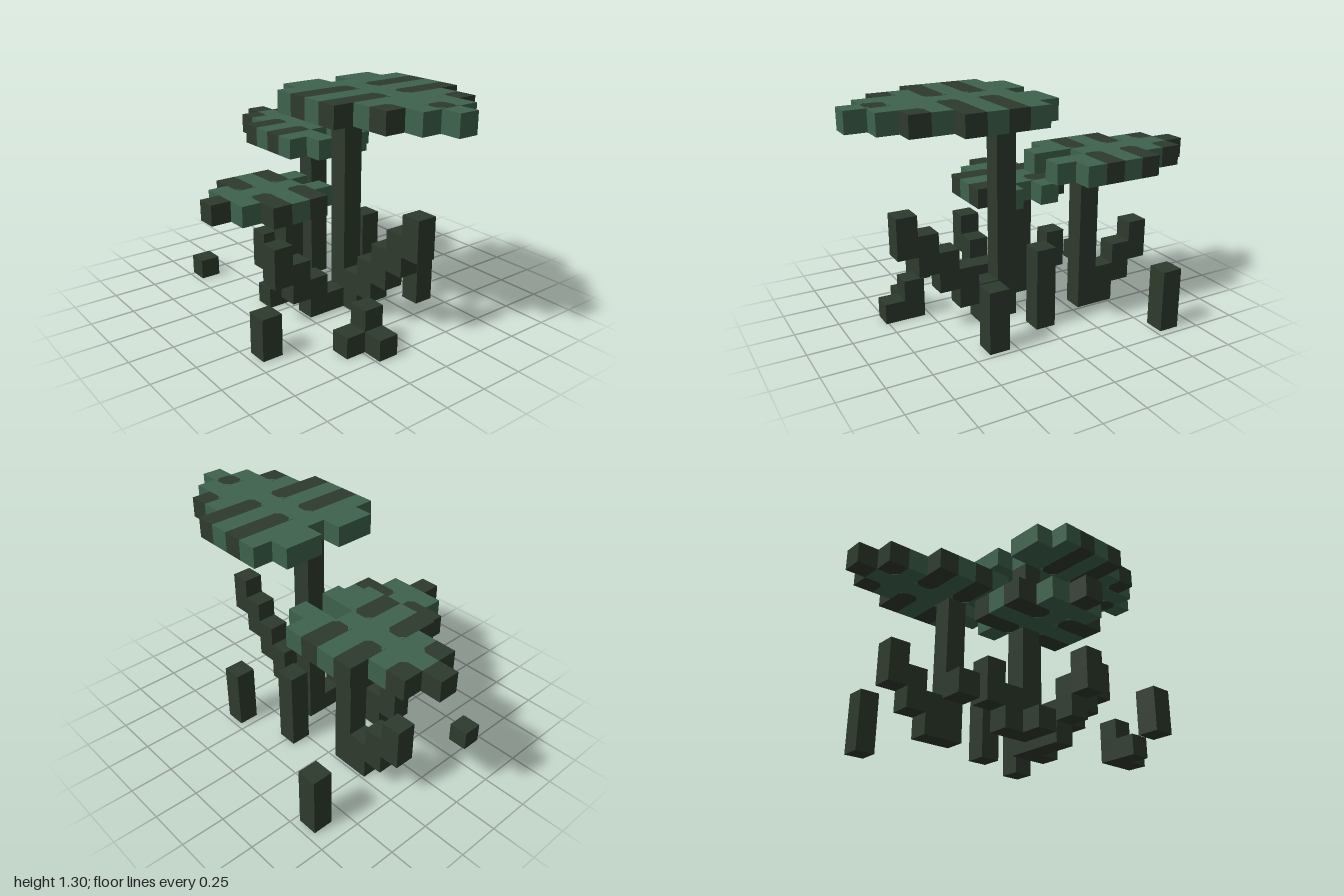
import * as THREE from 'three';
import { mergeGeometries } from 'three/addons/utils/BufferGeometryUtils.js';

const U = 2 / 17; // edge of one cube
const NX = 17, NZ = 12;
const leafGreen = new THREE.MeshStandardMaterial({ color: 0x3d624c });
leafGreen.name = 'leafGreen';
const barkDark = new THREE.MeshStandardMaterial({ color: 0x2e3a2d });
barkDark.name = 'barkDark';

// Canopies: level, first column, first row, then rows from back to front (G green, D dark)
const canopies = [
  { name: 'tallCanopy', level: 10, x: 8, z: 2, rows: [
    '.GDGD....', 'GGDGDGD..', 'GGDGDGGG.', '.GGGGGGDG', 'GGDGDGGG.', 'GGDGDGD..', '.GDGD....'] },
  { name: 'middleCanopy', level: 7, x: 0, z: 2, rows: [
    '...DGDG.', '.DGDGDGG', 'DGGGGG..', '.DGDGDGG', '...DGDG.'] },
  { name: 'lowCanopy', level: 5, x: 5, z: 6, rows: [
    '.G.G.', 'DDGDD', 'GGGGG', 'DDGDD', '.GGG.', '..D..'] },
];

// Wooden columns: [column, row, bottom level, top level]
const wood = {
  tallStem: [[9, 5, 0, 9]],
  middleStem: [[5, 4, 0, 6]],
  lowStem: [[7, 7, 0, 4]],
  leftBranch: [[10, 5, 0, 1], [11, 5, 1, 2], [12, 5, 2, 3], [13, 5, 3, 4], [14, 5, 4, 5]],
  frontBranch: [[9, 6, 0, 0], [9, 7, 0, 1], [9, 8, 1, 2], [9, 9, 2, 3]],
  rightBranch: [[4, 4, 0, 1], [3, 4, 1, 2], [2, 4, 2, 3]],
  lowBranch: [[6, 7, 0, 1], [5, 7, 1, 2]],
  lowRoot: [[7, 8, 0, 0]],
  backPosts: [[8, 3, 0, 3], [11, 2, 0, 2], [3, 0, 0, 2]],
  frontPost: [[11, 11, 0, 1]],
  stump: [[13, 7, 0, 1], [13, 8, 0, 0], [14, 7, 0, 0]],
  looseBlock: [[2, 9, 0, 0]],
};

// Outward face of a unit cube for each direction
const H = Math.PI / 2;
const sides = [
  [1, 0, 0, 0, H], [-1, 0, 0, 0, -H], [0, 1, 0, -H, 0],
  [0, -1, 0, H, 0], [0, 0, 1, 0, 0], [0, 0, -1, 0, 2 * H],
];
const key = (x, y, z) => `${x},${y},${z}`;
const centre = (x, y, z) => [(x + 0.5 - NX / 2) * U, (y + 0.5) * U, (z + 0.5 - NZ / 2) * U];

// Surface of a set of cubes, leaving out faces hidden by a neighbour
function cubesGeometry(cells, filled) {
  const faces = [];
  for (const [x, y, z] of cells) {
    for (const [dx, dy, dz, rx, ry] of sides) {
      if (filled.has(key(x + dx, y + dy, z + dz))) continue;
      const face = new THREE.PlaneGeometry(U, U).translate(0, 0, U / 2);
      faces.push(face.rotateX(rx).rotateY(ry).translate(...centre(x, y, z)));
    }
  }
  return mergeGeometries(faces);
}

// Thin green triangles that clip the inner corners of dark patches, above and below
function cornerGeometry(canopy) {
  const at = (c, r) => canopy.rows[r]?.[c];
  const corners = [];
  canopy.rows.forEach((row, r) => [...row].forEach((ch, c) => {
    if (ch !== 'D') return;
    for (const sx of [-1, 1]) for (const sz of [-1, 1]) {
      if (at(c + sx, r) !== 'G' || at(c, r + sz) !== 'G') continue;
      const h = U / 2, q = U * 0.24;
      const tri = new THREE.Shape([
        new THREE.Vector2(sx * h, -sz * h),
        new THREE.Vector2(sx * (h - q), -sz * h),
        new THREE.Vector2(sx * h, -sz * (h - q)),
      ]);
      const g = new THREE.ExtrudeGeometry(tri, { depth: 0.003, bevelEnabled: false }).rotateX(-H);
      const [px, py, pz] = centre(canopy.x + c, canopy.level, canopy.z + r);
      corners.push(g.clone().translate(px, py + h - 0.001, pz));
      corners.push(g.translate(px, py - h - 0.002, pz));
    }
  }));
  return corners.length ? mergeGeometries(corners) : null;
}

export function createModel() {
  const model = new THREE.Group();
  model.name = 'blockPlants';
  const filled = new Set();
  const parts = [];

  // Wooden stems, stepped branches and posts
  for (const [name, columns] of Object.entries(wood)) {
    const cells = [];
    for (const [x, z, low, high] of columns) {
      for (let y = low; y <= high; y++) cells.push([x, y, z]);
    }
    parts.push({ name, cells, material: barkDark });
  }

  // Flat striped canopies
  for (const canopy of canopies) {
    for (const [ch, suffix, material] of [['G', 'Leaves', leafGreen], ['D', 'Stripes', barkDark]]) {
      const cells = [];
      canopy.rows.forEach((row, r) => [...row].forEach((v, c) => {
        if (v === ch) cells.push([canopy.x + c, canopy.level, canopy.z + r]);
      }));
      parts.push({ name: canopy.name + suffix, cells, material });
    }
  }

  for (const { cells } of parts) for (const c of cells) filled.add(key(...c));
  const add = (name, geometry, material) => {
    const mesh = new THREE.Mesh(geometry, material);
    mesh.name = name;
    model.add(mesh);
  };
  for (const { name, cells, material } of parts) add(name, cubesGeometry(cells, filled), material);
  for (const canopy of canopies) {
    const geometry = cornerGeometry(canopy);
    if (geometry) add(canopy.name + 'StripeCorners', geometry, leafGreen);
  }
  return model;
}
